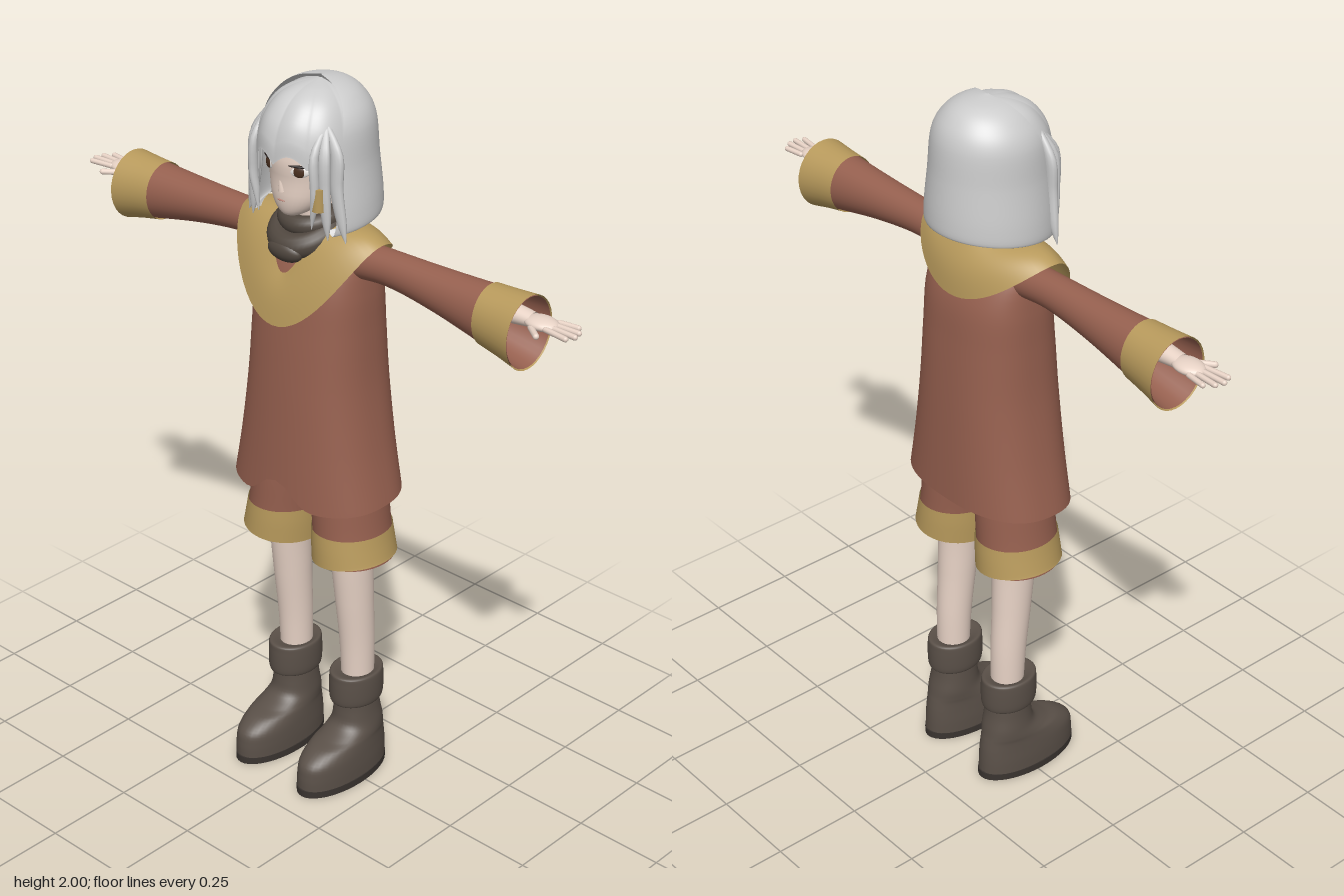
import * as THREE from 'three';
import { ParametricGeometry } from 'three/addons/geometries/ParametricGeometry.js';

const COLORS = {
  hair: 0xcccccc, skin: 0xe8d3c6, tunic: 0x96604f, gold: 0xb89a5c, dark: 0x5a5048,
  sole: 0x3a3430, scarf: 0x50473f, eye: 0x4a3020, white: 0xf0ece8, lash: 0x2a2220, lip: 0xb88478,
};
const materials = {};
function mat(name) {
  return (materials[name] ??= new THREE.MeshStandardMaterial({ color: COLORS[name], side: THREE.DoubleSide }));
}

// Smooth interpolation through rows of numbers
function sample(keys, t) {
  const f = t * (keys.length - 1), i = Math.min(Math.floor(f), keys.length - 2), w = f - i;
  const at = (n) => keys[Math.max(0, Math.min(keys.length - 1, n))];
  return keys[0].map((_, k) => {
    const a = at(i - 1)[k], b = at(i)[k], c = at(i + 1)[k], d = at(i + 2)[k];
    return b + 0.5 * w * (c - a + w * (2 * a - 5 * b + 4 * c - d + w * (3 * (b - c) + d - a)));
  });
}

// Surface through elliptical sections [y, centreX, centreZ, radiusX, radiusZ], listed bottom to top.
// power < 1 squares the section, lift bends the lower hem, range limits the angle (0 = front).
function loft(keys, { power = 1, lift = () => 0, range = () => [-Math.PI, Math.PI], seg = 40, rows = 24 } = {}) {
  const soft = (v) => Math.sign(v) * Math.abs(v) ** power;
  return new ParametricGeometry((u, v, target) => {
    const [y, cx, cz, rx, rz] = sample(keys, v);
    const [a0, a1] = range(v);
    const a = a0 + u * (a1 - a0);
    target.set(cx + rx * soft(Math.sin(a)), y + lift(a) * (1 - v) ** 2, cz + rz * soft(Math.cos(a)));
  }, seg, rows);
}

function add(parent, name, geometry, material, position = [0, 0, 0], scale = [1, 1, 1], rotation = [0, 0, 0]) {
  const mesh = new THREE.Mesh(geometry, mat(material));
  mesh.name = name;
  mesh.position.set(...position);
  mesh.scale.set(...scale);
  mesh.rotation.set(...rotation);
  parent.add(mesh);
  return mesh;
}

function group(parent, name) {
  const g = new THREE.Group();
  g.name = name;
  parent.add(g);
  return g;
}

const ball = () => new THREE.SphereGeometry(1, 24, 16);

function buildHead(root) {
  const head = group(root, 'head');
  add(head, 'face', loft([
    [1.664, 0, 0.085, 0.004, 0.004], [1.668, 0, 0.08, 0.025, 0.025], [1.685, 0, 0.065, 0.052, 0.05],
    [1.715, 0, 0.045, 0.076, 0.076], [1.76, 0, 0.022, 0.093, 0.1], [1.82, 0, 0.01, 0.102, 0.117],
    [1.9, 0, -0.005, 0.1, 0.115], [1.95, 0, -0.01, 0.07, 0.075], [1.965, 0, -0.01, 0.003, 0.003],
  ]), 'skin');
  add(head, 'nose', new THREE.ConeGeometry(0.011, 0.032, 12), 'skin', [0, 1.752, 0.121], [1, 1, 1.1], [0.35, 0, 0]);
  add(head, 'mouth', ball(), 'lip', [0, 1.711, 0.121], [0.014, 0.002, 0.003]);
  add(head, 'neck', new THREE.CylinderGeometry(0.045, 0.05, 0.18, 24), 'skin', [0, 1.65, -0.015]);
  for (const s of [-1, 1]) {
    const eye = group(head, s > 0 ? 'leftEye' : 'rightEye');
    eye.position.set(s * 0.05, 1.795, 0.108);
    eye.rotation.y = s * 0.45;
    add(eye, 'eyeWhite', ball(), 'white', [0, 0, 0], [0.026, 0.015, 0.006]);
    add(eye, 'iris', ball(), 'eye', [0, 0, 0.003], [0.015, 0.015, 0.005]);
    add(eye, 'lash', ball(), 'lash', [0, 0.014, 0.003], [0.028, 0.0035, 0.005]);
  }
}

function buildHair(root) {
  const hair = group(root, 'hair');
  // Bobbed outer shell, open at the face and rolled under at the hem
  add(hair, 'hairShell', loft([
    [1.665, 0, -0.01, 0.143, 0.14], [1.65, 0, -0.01, 0.163, 0.163], [1.7, 0, -0.01, 0.163, 0.166],
    [1.8, 0, -0.01, 0.151, 0.158], [1.9, 0, -0.012, 0.141, 0.146], [1.955, 0, -0.017, 0.11, 0.115],
    [1.987, 0, -0.02, 0.064, 0.07], [2, 0, -0.02, 0.003, 0.003],
  ], {
    lift: (a) => -0.025 * Math.cos(a), seg: 56, rows: 40,
    range: (t) => [0.92 + 0.5 * t, 2 * Math.PI - 0.92 - 0.5 * t],
  }), 'hair');
  // Jagged fringe
  add(hair, 'fringe', loft([
    [1.812, 0, -0.008, 0.144, 0.157], [1.86, 0, -0.008, 0.142, 0.153], [1.91, 0, -0.01, 0.131, 0.138],
    [1.955, 0, -0.017, 0.104, 0.11], [1.981, 0, -0.02, 0.06, 0.066], [1.993, 0, -0.02, 0.003, 0.003],
  ], {
    lift: (a) => 0.028 * Math.abs(Math.sin(a * 5)) - 0.12 * Math.max(0, Math.abs(a) - 0.6),
    range: () => [-1.55, 1.55], seg: 60,
  }), 'hair');
  // Tapered locks framing the face: [tip x, tip y, tip z, middle x, width]
  const locks = [[0.165, 1.625, 0.065, 0.137, 0.019], [0.128, 1.63, 0.09, 0.119, 0.017], [0.09, 1.655, 0.108, 0.104, 0.011]];
  for (const s of [-1, 1]) {
    for (const [x, y, z, mx, w] of locks) {
      add(hair, 'sideLock', loft([
        [y, s * x, z, 0.001, 0.001], [y + 0.05, s * (x + mx) / 2, z, w * 0.75, 0.01],
        [1.76, s * mx, z + 0.003, w, 0.013], [1.85, s * (mx - 0.004), z, w, 0.013], [1.92, s * 0.095, 0.06, 0.006, 0.006],
      ], { seg: 12, rows: 16 }), 'hair');
    }
  }
  add(hair, 'hairTie', new THREE.CylinderGeometry(0.018, 0.018, 0.06, 16), 'gold', [0.108, 1.738, 0.101]);
}

function buildClothes(root) {
  // Flared tunic with a notch in the front hem
  add(root, 'tunic', loft([
    [0.885, 0, -0.013, 0.24, 0.163], [1.03, 0, -0.014, 0.211, 0.158], [1.2, 0, -0.015, 0.187, 0.151],
    [1.35, 0, -0.016, 0.178, 0.141], [1.47, 0, -0.017, 0.174, 0.127], [1.56, 0, -0.015, 0.16, 0.092],
    [1.605, 0, -0.012, 0.115, 0.062], [1.63, 0, -0.01, 0.05, 0.045],
  ], { power: 0.82, lift: (a) => -0.015 * Math.cos(a) + 0.065 * Math.exp(-((a / 0.22) ** 2)), seg: 72, rows: 32 }), 'tunic');

  // Shoulder cape: rounded hem at the front and back, raised over the shoulders
  const cape = new ParametricGeometry((u, v, target) => {
    const a = (u * 2 - 1) * Math.PI, s = Math.sin(a), c = Math.cos(a), front = c > 0;
    const bulge = 0.014 * Math.sin(v * Math.PI);
    const mix = THREE.MathUtils.lerp;
    target.set(
      s * (mix(0.228, 0.08, v) + bulge),
      mix(1.618 - (front ? 0.235 : 0.125) * c * c, 1.64 - (front ? 0.125 : 0) * Math.abs(c) ** 3, v) + bulge * 0.7,
      c * (mix(front ? 0.157 : 0.145, front ? 0.118 : 0.085, v) + bulge * (front ? 0.3 : 1)),
    );
  }, 64, 14);
  add(root, 'shoulderCape', cape, 'gold');

  // Loose scarf, lower at the front
  const scarf = group(root, 'scarf');
  add(scarf, 'scarfLower', new THREE.TorusGeometry(0.072, 0.031, 16, 40), 'scarf', [0, 1.615, 0.026], [1, 1.06, 1.1], [Math.PI / 2 + 0.42, 0, 0]);
  add(scarf, 'scarfUpper', new THREE.TorusGeometry(0.066, 0.024, 16, 40), 'scarf', [0, 1.648, 0.008], [1, 1, 1.1], [Math.PI / 2 + 0.25, 0, 0]);
  add(scarf, 'scarfFold', ball(), 'scarf', [0, 1.572, 0.108], [0.055, 0.03, 0.025], [0.4, 0, 0]);

  add(root, 'shortsSeat', ball(), 'tunic', [0, 0.98, -0.02], [0.185, 0.085, 0.12]);
}

function buildArm(root, s) {
  const arm = group(root, s > 0 ? 'leftArm' : 'rightArm');
  // Sections run outward: [x, centre height, half height, half depth]
  const along = (rows, grow = 0) => loft(
    rows.map(([x, y, h, d]) => [x, -s * y, -0.016, h + grow, d + grow]), { seg: 32, rows: 20 },
  ).rotateZ(-s * Math.PI / 2);
  add(arm, 'sleeve', along([
    [0.13, 1.552, 0.05, 0.05], [0.25, 1.558, 0.047, 0.045], [0.4, 1.55, 0.057, 0.053],
    [0.56, 1.536, 0.076, 0.067], [0.678, 1.525, 0.092, 0.083],
  ]), 'tunic');
  add(arm, 'sleeveCuff', along([[0.56, 1.536, 0.077, 0.068], [0.62, 1.531, 0.084, 0.075], [0.68, 1.525, 0.093, 0.084]], 0.003), 'gold');
  add(arm, 'forearm', along([[0.45, 1.56, 0.034, 0.034], [0.6, 1.562, 0.028, 0.029], [0.69, 1.563, 0.018, 0.023]]), 'skin');
  add(arm, 'palm', ball(), 'skin', [s * 0.715, 1.563, -0.016], [0.047, 0.016, 0.034]);
  // Fingers fan out slightly, from little finger to index
  [0.052, 0.07, 0.076, 0.066].forEach((length, i) => {
    const k = i - 1.5;
    add(arm, 'finger', new THREE.CapsuleGeometry(0.0072, length, 4, 10), 'skin',
      [s * (0.745 + length / 2), 1.563, -0.018 + k * 0.02], [1, 1, 1], [0, -s * k * 0.09, -s * Math.PI / 2]);
  });
  add(arm, 'thumb', new THREE.CapsuleGeometry(0.008, 0.05, 4, 10), 'skin',
    [s * 0.724, 1.557, 0.026], [1, 1, 1], [0, -s * 0.65, -s * Math.PI / 2]);
}

function buildLeg(root, s) {
  const leg = group(root, s > 0 ? 'leftLeg' : 'rightLeg');
  const side = (rows) => rows.map(([y, x, ...rest]) => [y, s * x, ...rest]);
  add(leg, 'shortsLeg', loft(side([
    [0.7, 0.126, -0.02, 0.103, 0.115], [0.79, 0.115, -0.02, 0.098, 0.112], [0.9, 0.105, -0.02, 0.096, 0.11], [1, 0.098, -0.02, 0.09, 0.1],
  ])), 'tunic');
  add(leg, 'shortsBand', loft(side([
    [0.697, 0.126, -0.02, 0.108, 0.12], [0.745, 0.12, -0.02, 0.105, 0.118], [0.785, 0.116, -0.02, 0.102, 0.115],
  ]), { lift: (a) => -0.012 * Math.cos(a - Math.PI / 2) * -s, rows: 8 }), 'gold');
  add(leg, 'shin', loft(side([
    [0.26, 0.115, -0.05, 0.043, 0.045], [0.4, 0.115, -0.046, 0.046, 0.05], [0.55, 0.114, -0.034, 0.05, 0.056],
    [0.7, 0.111, -0.025, 0.055, 0.064], [0.95, 0.1, -0.02, 0.07, 0.08],
  ])), 'skin');
  add(leg, 'boot', loft(side([
    [0.018, 0.117, 0.017, 0.073, 0.157], [0.055, 0.117, 0.017, 0.073, 0.156], [0.09, 0.117, 0.014, 0.071, 0.15],
    [0.118, 0.117, -0.003, 0.068, 0.128], [0.135, 0.117, -0.027, 0.066, 0.1], [0.16, 0.116, -0.046, 0.063, 0.076],
    [0.2, 0.115, -0.047, 0.059, 0.066], [0.25, 0.115, -0.045, 0.056, 0.062],
  ]), { power: 0.92, rows: 32 }), 'dark');
  add(leg, 'sole', new THREE.CylinderGeometry(1, 1, 0.02, 40), 'sole', [s * 0.117, 0.01, 0.017], [0.076, 1, 0.161]);
  add(leg, 'bootCuff', loft(side([
    [0.235, 0.115, -0.044, 0.05, 0.06], [0.226, 0.115, -0.044, 0.061, 0.076], [0.245, 0.115, -0.044, 0.067, 0.082],
    [0.3, 0.115, -0.044, 0.067, 0.082], [0.319, 0.115, -0.044, 0.062, 0.077], [0.312, 0.115, -0.046, 0.042, 0.046],
  ])), 'dark');
}

export function createModel() {
  const root = new THREE.Group();
  root.name = 'figure';
  buildHead(root);
  buildHair(root);
  buildClothes(root);
  for (const s of [-1, 1]) {
    buildArm(root, s);
    buildLeg(root, s);
  }
  return root;
}
